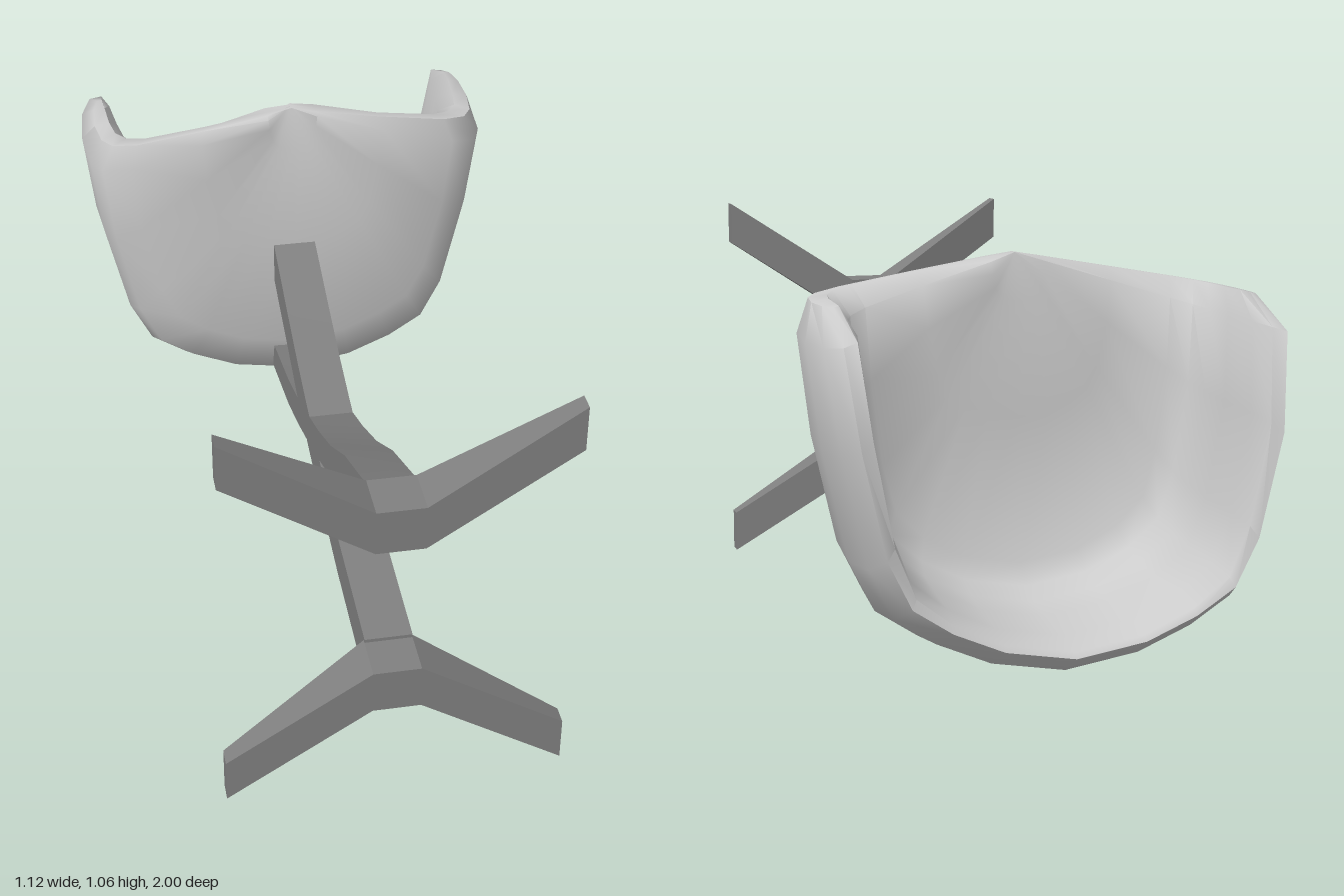
import * as THREE from 'three';
import { toCreasedNormals } from 'three/addons/utils/BufferGeometryUtils.js';

// Builds a solid from a grid of points rows[i][j] plus closing quads of [row, column] corners
function solid(rows, quads, crease) {
  const faces = quads.map((q) => q.map(([i, j]) => rows[i][j]));
  for (let i = 0; i < rows.length - 1; i++)
    for (let j = 0; j < rows[i].length - 1; j++)
      faces.push([rows[i][j], rows[i + 1][j], rows[i + 1][j + 1], rows[i][j + 1]]);
  const tris = [];
  let volume = 0;
  for (const [a, b, c, d] of faces)
    for (const t of [[a, b, c], [a, c, d]]) {
      const n = t[1].clone().sub(t[0]).cross(t[2].clone().sub(t[0]));
      if (n.length() < 1e-7) continue;
      volume += n.dot(t[0]);
      tris.push(t);
    }
  const points = tris.flatMap((t) => (volume < 0 ? [t[0], t[2], t[1]] : t));
  return toCreasedNormals(new THREE.BufferGeometry().setFromPoints(points), crease);
}

// Bar through four-cornered sections, closed at both ends
function bar(sections) {
  const rows = sections.map((s) => [...s, s[0]].map((p) => new THREE.Vector3(...p)));
  const last = rows.length - 1;
  const caps = [[0, 1, 2, 3].map((j) => [0, j]), [3, 2, 1, 0].map((j) => [last, j])];
  return solid(rows, caps, 0.2);
}

function seatShell() {
  // Half outline: x, y, rim depth, inner wall thickness factor
  const half = [
    [0.555, 0.935, 0.62, 1], [0.558, 0.86, 0.9, 1], [0.53, 0.62, 1, 0.95], [0.47, 0.36, 1, 0.85],
    [0.41, 0.24, 1, 0.75], [0.31, 0.175, 1, 0.68], [0.18, 0.12, 1, 0.65], [0, 0.09, 1, 0.65],
  ];
  const outline = [...half, ...half.slice(0, -1).reverse().map(([x, ...r]) => [-x, ...r])];
  // Layers (scale about the front centre, z): under the pan, up the wall, over the rim, back inside
  const layers = [
    [0, -0.52], [0.12, -0.48], [0.45, -0.472], [0.8, -0.485], [0.93, -0.53], [0.98, -0.61],
    [1, -0.77], [0.98, -0.92], [0.93, -1],
    [0.87, -0.99], [0.84, -0.91], [0.82, -0.78], [0.8, -0.69], [0.76, -0.63], [0.68, -0.59],
    [0.42, -0.565], [0.12, -0.56], [0, -0.53],
  ];
  const n = layers.length, end = outline.length - 1;
  const rows = layers.map(([s, z], i) => outline.map(([x, y, depth, thick], j) => {
    let k = s, h = z;
    if (i >= n / 2 && s > 0.5) k = 1 - (1 - s) * thick;
    if (j === 0 || j === end) { // thin the front edge
      const [s2, z2] = layers[n - 1 - i];
      k += ((s + s2) / 2 - k) * 0.6;
      h += ((z + z2) / 2 - h) * 0.6;
    }
    return new THREE.Vector3(x * k, 1.03 + (y - 1.03) * k, -0.47 + (h + 0.47) * depth);
  }));
  // Front edge faces joining the outside to the inside
  const caps = [];
  for (let i = 0; i < n / 2 - 1; i++) {
    const q = [i + 1, i, n - 1 - i, n - 2 - i];
    caps.push(q.map((r) => [r, 0]), q.slice().reverse().map((r) => [r, end]));
  }
  return solid(rows, caps, 1.0);
}

export function createModel() {
  const group = new THREE.Group();
  const seatMaterial = new THREE.MeshStandardMaterial({ color: 0xcccccc });
  const legMaterial = new THREE.MeshStandardMaterial({ color: 0x808080 });
  const add = (name, geometry, material) => {
    const mesh = new THREE.Mesh(geometry, material);
    mesh.name = name;
    group.add(mesh);
  };

  add('seatShell', seatShell(), seatMaterial);

  // Crossing curved legs: z, lower y, upper y
  const w = 0.058;
  const leg = (path) => bar(path.map(([z, lo, hi]) => [[-w, lo, z], [w, lo, z], [w, hi, z], [-w, hi, z]]));
  add('descendingLeg', leg([
    [0.89, 0.71, 0.822], [0.62, 0.59, 0.7], [0.43, 0.49, 0.587], [0.25, 0.41, 0.502], [0.07, 0.34, 0.428],
    [-0.08, 0.285, 0.37], [-0.24, 0.235, 0.32], [-0.52, 0.175, 0.255],
  ]), legMaterial);
  add('ascendingLeg', leg([
    [0.89, 0.24, 0.355], [0.53, 0.265, 0.378], [0.25, 0.305, 0.42], [0.07, 0.34, 0.455],
    [-0.08, 0.372, 0.492], [-0.26, 0.432, 0.547], [-0.51, 0.51, 0.63],
  ]), legMaterial);

  // Forked feet, mirrored about the middle height: x, lower y, back z
  const fork = [[-0.41, 0.94, 0.955], [-w, 0.71, 0.88], [w, 0.71, 0.88], [0.41, 0.94, 0.955]];
  for (const [name, flip] of [['upperFoot', false], ['lowerFoot', true]]) {
    const Y = (y) => (flip ? 1.056 - y : y);
    add(name, bar(fork.map(([x, y, z]) => [
      [x, Y(y), z], [x, Y(y), 1], [x, Y(y + 0.116), 1], [x, Y(y + 0.116), z],
    ])), legMaterial);
  }
  return group;
}
